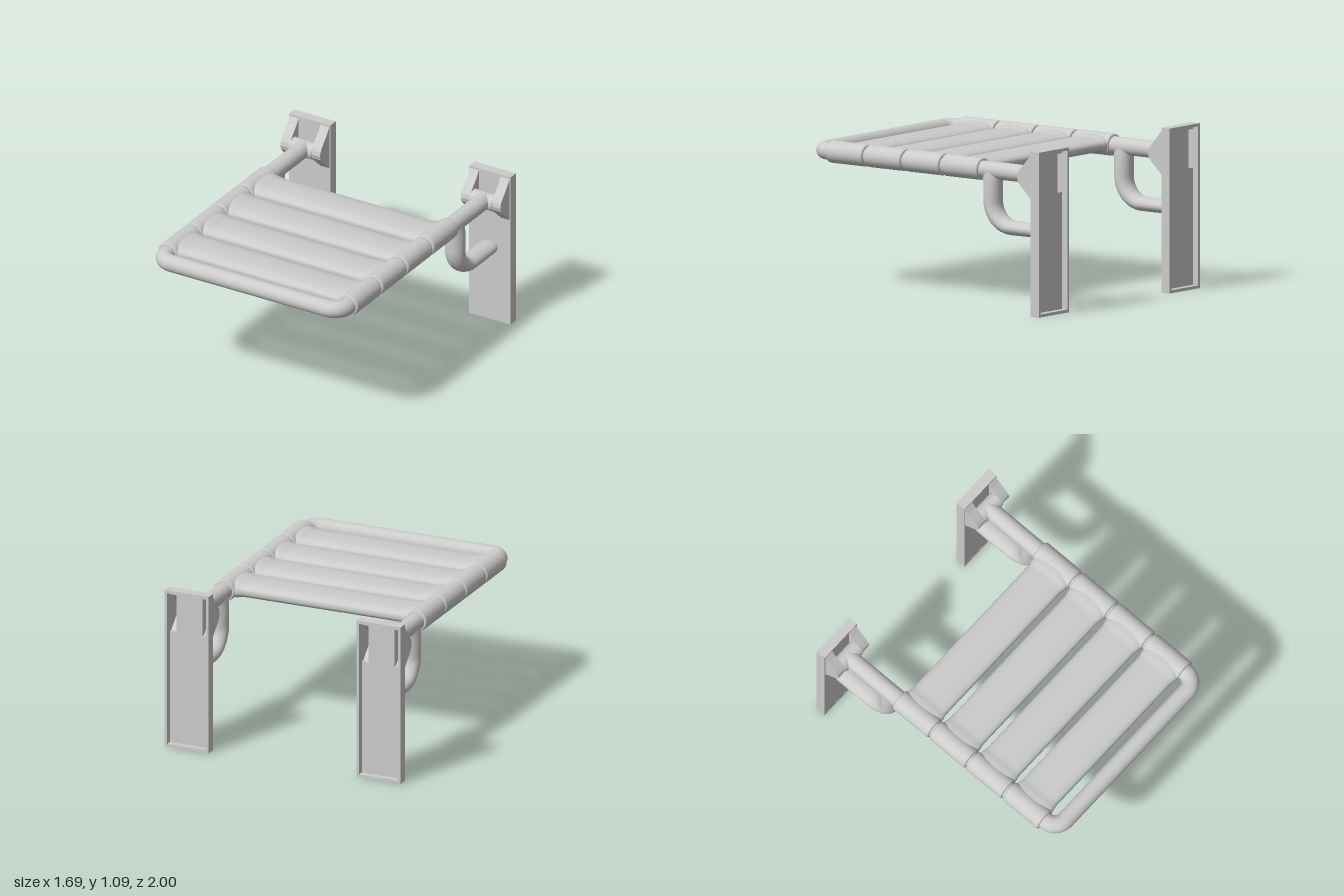
import * as THREE from 'three';

const grey = new THREE.MeshStandardMaterial({ color: 0xcccccc });
const V = (x, y, z) => new THREE.Vector3(x, y, z);
const SIDE_X = 0.687, BAR_Y = 0.907;

function mesh(name, geometry, parent) {
  const m = new THREE.Mesh(geometry, grey);
  m.name = name;
  parent.add(m);
  return m;
}

// Sweeps a (super)ellipse along stations { p, t, a, b }: a = half size along n, b = across
function sweep(stations, n, power = 2, seg = 32) {
  const pos = [], idx = [];
  const sp = (v) => Math.sign(v) * Math.abs(v) ** (2 / power);
  const ring = ({ p, t, a, b }) => {
    const s = t.clone().cross(n).normalize();
    for (let j = 0; j < seg; j++) {
      const w = (j / seg) * Math.PI * 2;
      pos.push(...p.clone().addScaledVector(n, a * sp(Math.cos(w))).addScaledVector(s, b * sp(Math.sin(w))).toArray());
    }
  };
  stations.forEach(ring);
  for (let i = 0; i < stations.length - 1; i++) {
    for (let j = 0; j < seg; j++) {
      const k = (j + 1) % seg, A = i * seg, B = A + seg;
      idx.push(A + j, A + k, B + k, A + j, B + k, B + j);
    }
  }
  // End caps with their own vertices for crisp edges
  [stations[0], stations[stations.length - 1]].forEach((st, end) => {
    const base = pos.length / 3;
    ring(st);
    pos.push(...st.p.toArray());
    for (let j = 0; j < seg; j++) {
      const k = (j + 1) % seg;
      idx.push(base + seg, base + (end ? j : k), base + (end ? k : j));
    }
  });
  const g = new THREE.BufferGeometry();
  g.setAttribute('position', new THREE.Float32BufferAttribute(pos, 3));
  g.setIndex(idx);
  g.computeVertexNormals();
  return g;
}

// Straight runs joined by arcs: corner points with a bend radius
function bentPath(points, radius, steps = 12) {
  const out = [];
  points.forEach((p, i) => {
    if (i === 0 || i === points.length - 1) {
      const t = (i ? p.clone().sub(points[i - 1]) : points[1].clone().sub(p)).normalize();
      out.push({ p, t });
      return;
    }
    const d0 = p.clone().sub(points[i - 1]).normalize();
    const d1 = points[i + 1].clone().sub(p).normalize();
    const c = p.clone().addScaledVector(d0, -radius).addScaledVector(d1, radius);
    for (let k = 0; k <= steps; k++) {
      const w = (k / steps) * Math.PI / 2;
      out.push({
        p: c.clone().addScaledVector(d1, -radius * Math.cos(w)).addScaledVector(d0, radius * Math.sin(w)),
        t: d0.clone().multiplyScalar(Math.cos(w)).addScaledVector(d1, Math.sin(w)),
      });
    }
  });
  return out;
}

const polygon = (pts) => new THREE.Shape(pts.map(([x, y]) => new THREE.Vector2(x, y)));
const rect = (x0, y0, x1, y1) => polygon([[x0, y0], [x1, y0], [x1, y1], [x0, y1]]);

// Extrudes a (z, y) profile along x, centred on x
function extrudeX(shape, width, x) {
  const g = new THREE.ExtrudeGeometry(shape, { depth: width, bevelEnabled: false });
  return g.rotateY(-Math.PI / 2).translate(x + width / 2, 0, 0);
}

// Wall bracket, centred on x = 0: hollow-backed plate with two hollow ears
function wallBracket() {
  const g = new THREE.Group();
  g.name = 'wallBracket';
  const W = 0.158, H = 1.085, EAR = 0.117;

  const rim = rect(-W, 0, W, H);
  rim.holes.push(rect(-W + 0.018, 0.02, W - 0.018, H - 0.02));
  mesh('plateRim', new THREE.ExtrudeGeometry(rim, { depth: 0.07, bevelEnabled: false }), g).position.z = -1;

  const face = rect(-W + 0.01, 0.01, W - 0.01, H - 0.01);
  for (const s of [-1, 1]) face.holes.push(rect(s * EAR - 0.024, 0.79, s * EAR + 0.024, 1.045));
  mesh('plateFace', new THREE.ExtrudeGeometry(face, { depth: 0.025, bevelEnabled: false }), g).position.z = -0.956;

  // Ear profile with a rounded nose; the strip is the same outline made hollow
  const outer = [[-0.935, 0.765], [-0.84, 0.855], [-0.822, 0.876], [-0.814, 0.905], [-0.82, 0.935], [-0.84, 0.963], [-0.9, 1.03], [-0.935, 1.078]];
  const inner = [[-0.935, 1.058], [-0.91, 1.02], [-0.85, 0.952], [-0.83, 0.92], [-0.828, 0.895], [-0.85, 0.866], [-0.935, 0.785]];
  for (const s of [-1, 1]) {
    mesh('earRim', extrudeX(polygon([...outer, ...inner]), 0.064, s * EAR), g);
    for (const c of [-1, 1]) mesh('earCheek', extrudeX(polygon(outer), 0.01, s * EAR + c * 0.029), g);
  }

  // Pivot barrel between the ears
  const pivot = mesh('pivotBarrel', new THREE.CylinderGeometry(0.057, 0.057, 0.17, 32), g);
  pivot.rotation.z = Math.PI / 2;
  pivot.position.set(0, BAR_Y - 0.003, -0.866);

  // Curved support leg from the seat bar back to the plate
  const leg = bentPath([V(0, 0.9, -0.497), V(0, 0.542, -0.497), V(0, 0.542, -0.935)], 0.17);
  leg.splice(1, 0, { p: V(0, 0.82, -0.497), t: V(0, -1, 0) });
  leg.forEach((st, i) => {
    const f = Math.min(1, Math.max(0, (i - 2) / (leg.length - 3)));
    st.a = i ? 0.069 : 0.058;
    st.b = i ? 0.062 - 0.016 * f : 0.075;
  });
  // Rounded foot
  const foot = leg[leg.length - 1];
  leg.splice(leg.length - 1, 0, { ...foot, p: V(0, 0.542, -0.905) });
  foot.a = 0.058;
  foot.b = 0.036;
  mesh('supportLeg', sweep(leg, V(1, 0, 0)), g);
  return g;
}

// One seat slat with a sleeve around the frame at each end
function slat(z) {
  const g = new THREE.Group();
  g.name = 'slat';
  const half = 0.153, r = 0.073;
  const ends = [[0.65, 0.062, 0.149], [0.612, 0.06, 0.149], [0.595, 0.056, 0.147], [0.575, 0.051, 0.142], [0.55, 0.05, 0.14]];
  const stations = [...ends.map(([x, a, b]) => [-x, a, b]), ...ends.slice().reverse()]
    .map(([x, a, b]) => ({ p: V(x, 0, 0), t: V(1, 0, 0), a, b }));
  mesh('slatBoard', sweep(stations, V(0, 1, 0), 2.6, 48), g);

  const profile = [[0.05, -half], [r - 0.008, -half], [r - 0.002, -half + 0.005], [r, -half + 0.014]];
  const pts = [...profile, ...profile.map(([x, y]) => [x, -y]).reverse()].map(([x, y]) => new THREE.Vector2(x, y));
  for (const s of [-1, 1]) {
    const sleeve = mesh('slatSleeve', new THREE.LatheGeometry(pts, 40), g);
    sleeve.rotation.x = Math.PI / 2;
    sleeve.scale.x = 1.03;
    sleeve.position.x = s * SIDE_X;
  }
  g.position.set(0, BAR_Y + 0.001, z);
  return g;
}

export function createModel() {
  const model = new THREE.Group();
  model.name = 'foldingShowerSeat';

  // U-shaped tube frame
  const path = bentPath([
    V(-SIDE_X, BAR_Y, -0.87), V(-SIDE_X, BAR_Y, 0.942),
    V(SIDE_X, BAR_Y, 0.942), V(SIDE_X, BAR_Y, -0.87),
  ], 0.09);
  path.forEach((st) => { st.a = 0.057; st.b = 0.059; });
  mesh('tubeFrame', sweep(path, V(0, 1, 0)), model);

  for (let i = 0; i < 4; i++) model.add(slat(-0.264 + i * 0.3185));

  for (const s of [-1, 1]) {
    const bracket = wallBracket();
    bracket.position.x = s * SIDE_X;
    model.add(bracket);
  }
  return model;
}
